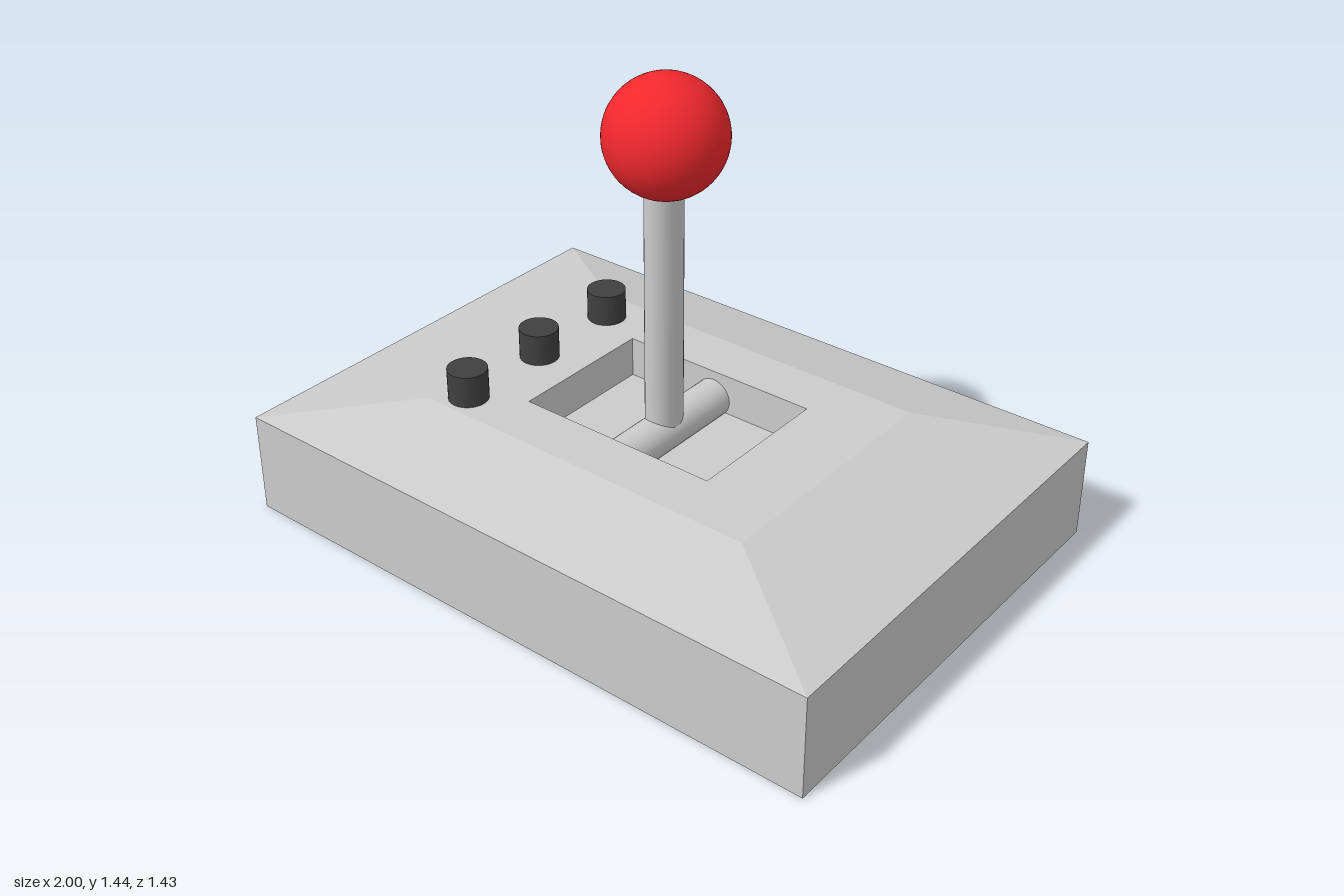
import * as THREE from 'three';

const grey = new THREE.MeshStandardMaterial({ color: 0xcccccc });
const red = new THREE.MeshStandardMaterial({ color: 0xf0282d });
const black = new THREE.MeshStandardMaterial({ color: 0x404040 });

// Flat-faced solid lofted through rectangular rings [halfX, y, halfZ], closed at both ends
function loftRectangles(rings) {
  const corners = rings.map(([x, y, z]) => [[-x, y, z], [x, y, z], [x, y, -z], [-x, y, -z]]);
  const positions = [];
  const quad = (a, b, c, d) => positions.push(...a, ...b, ...c, ...a, ...c, ...d);
  for (let r = 0; r < corners.length - 1; r++) {
    const low = corners[r], high = corners[r + 1];
    for (let i = 0; i < 4; i++) {
      const j = (i + 1) % 4;
      quad(low[i], low[j], high[j], high[i]);
    }
  }
  const [a, b, c, d] = corners[0];
  quad(d, c, b, a);
  quad(...corners[corners.length - 1]);
  const geometry = new THREE.BufferGeometry();
  geometry.setAttribute('position', new THREE.Float32BufferAttribute(positions, 3));
  geometry.computeVertexNormals();
  return geometry;
}

export function createModel() {
  const model = new THREE.Group();
  model.name = 'joystick';
  const add = (name, geometry, material, x = 0, y = 0, z = 0) => {
    const mesh = new THREE.Mesh(geometry, material);
    mesh.name = name;
    mesh.position.set(x, y, z);
    model.add(mesh);
    return mesh;
  };

  const deckY = 0.405, pitY = 0.275, pivotY = 0.315, stickX = -0.012;

  // Housing: upright sides, sloped shoulders, flat deck and sunken well
  add('housing', loftRectangles([
    [1, 0, 0.715],
    [1, 0.32, 0.715],
    [0.575, deckY, 0.408],
    [0.33, deckY, 0.238],
    [0.33, pitY, 0.238],
  ]), grey);

  // Pivot rod spanning the well from front to back
  const pivot = new THREE.CylinderGeometry(0.061, 0.061, 0.476, 32).rotateX(Math.PI / 2);
  add('pivotRod', pivot, grey, stickX, pivotY, 0);

  // Shaft with an oval section, reaching up into the ball
  const shaftTop = 1.15;
  const shaft = new THREE.CylinderGeometry(1, 1, shaftTop - pivotY, 32).scale(0.051, 1, 0.065);
  add('shaft', shaft, grey, stickX, (shaftTop + pivotY) / 2, 0);

  // Ball knob
  add('ballKnob', new THREE.SphereGeometry(0.178, 48, 32), red, -0.005, 1.258, 0);

  // Row of push buttons
  const button = new THREE.CylinderGeometry(0.061, 0.061, 0.11, 32);
  for (const z of [-0.297, 0.02, 0.33]) add('button', button, black, -0.485, 0.45, z);

  return model;
}
